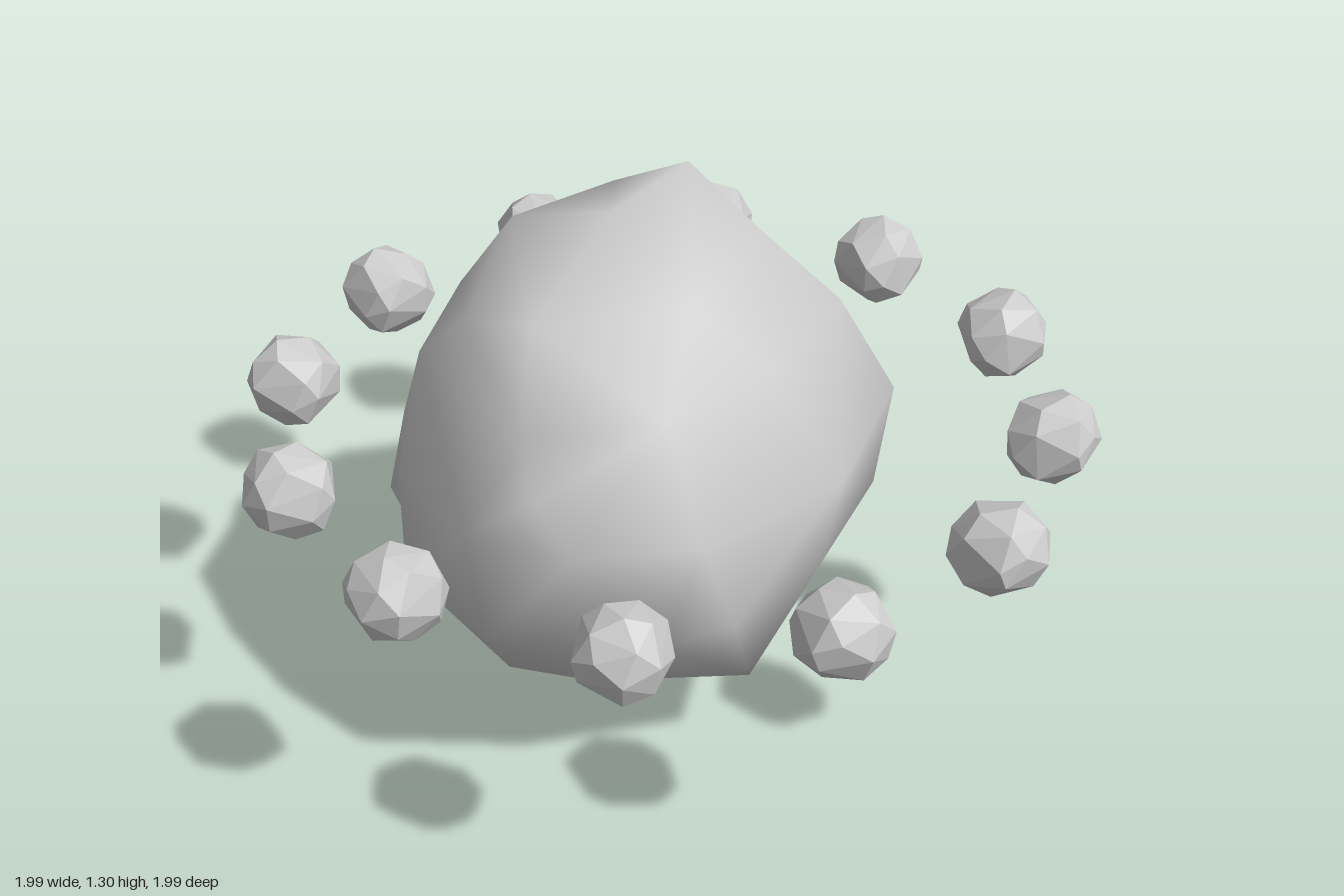
import * as THREE from 'three';
import { ConvexGeometry } from 'three/addons/geometries/ConvexGeometry.js';
import { mergeVertices } from 'three/addons/utils/BufferGeometryUtils.js';

const V = (x, y, z) => new THREE.Vector3(x, y, z);

// Triangulates points around a centre: hull of their directions, then back to their true distance
function starSurface(points, centre) {
  const dirs = points.map((p) => p.clone().sub(centre).normalize());
  const geo = new ConvexGeometry(dirs);
  const pos = geo.attributes.position;
  const v = V(0, 0, 0);
  for (let i = 0; i < pos.count; i++) {
    v.fromBufferAttribute(pos, i);
    let best = 0;
    dirs.forEach((d, k) => { if (d.dot(v) > dirs[best].dot(v)) best = k; });
    pos.setXYZ(i, points[best].x, points[best].y, points[best].z);
  }
  return geo;
}

// Large rock: irregular [x, z] outlines stacked by height
const LAYERS = [
  { y: 1.15, ring: [[-0.28, 0.38], [0.06, 0.28], [0.21, -0.04], [0.09, -0.26], [-0.12, -0.27]] },
  { y: 0.98, ring: [[-0.54, 0.2], [-0.3, 0.54], [0, 0.5], [0.24, 0.28], [0.395, -0.02],
    [0.25, -0.28], [0.08, -0.4], [-0.2, -0.36], [-0.47, -0.1]] },
  { y: 0.73, ring: [[-0.59, 0.32], [-0.43, 0.54], [-0.2, 0.63], [0.08, 0.6], [0.39, 0.34], [0.53, -0.04],
    [0.37, -0.32], [0.19, -0.55], [-0.02, -0.575], [-0.33, -0.39], [-0.53, -0.18], [-0.6, 0.06]] },
  { y: 0.49, ring: [[-0.65, 0.02], [-0.6, 0.14], [-0.585, 0.35], [-0.39, 0.6], [0, 0.62], [0.15, 0.55],
    [0.35, 0.32], [0.49, 0], [0.41, -0.36], [-0.3, -0.39], [-0.52, -0.18]] },
  { y: 0.41, ring: [[0.2, -0.555], [-0.02, -0.53]] },
  { y: 0.23, ring: [[-0.36, 0.37], [-0.16, 0.42], [0.19, 0.4], [0.27, 0], [0.25, -0.25], [0.04, -0.33], [-0.38, -0.2]] },
  { y: 0.15, ring: [[-0.48, 0.11], [-0.47, 0.02], [-0.12, 0.32], [0.14, 0.1], [-0.12, -0.16]] },
];
// Peaks, a small notch, a front bulge and the lowest tip
const TIPS = [V(0.05, 1.3, -0.08), V(-0.34, 1.2, -0.01), V(-0.12, 1.26, 0.08),
  V(-0.44, 1.05, 0.18), V(-0.28, 0.86, 0.61), V(-0.24, 0.04, 0.06), V(-0.15, 0, 0.15)];

function makeBoulder() {
  const points = [...TIPS];
  for (const { y, ring } of LAYERS) ring.forEach(([x, z]) => points.push(V(x, y, z)));
  let geo = starSurface(points, V(-0.05, 0.65, 0.03));
  geo.deleteAttribute('normal');
  geo = mergeVertices(geo, 1e-4);
  geo.computeVertexNormals();
  return geo;
}

// Small faceted rock: evenly spread, slightly jittered points
function makePebble() {
  let seed = 7;
  const rand = () => (seed = (seed * 16807) % 2147483647) / 2147483647;
  const points = [];
  const n = 26;
  for (let i = 0; i < n; i++) {
    const y = 1 - (2 * i + 1) / n;
    const a = i * 2.39996 + (rand() - 0.5) * 0.6;
    const r = Math.sqrt(1 - y * y);
    points.push(V(Math.cos(a) * r, y, Math.sin(a) * r).multiplyScalar(0.108 + rand() * 0.01));
  }
  return new ConvexGeometry(points);
}

export function createModel() {
  const model = new THREE.Group();
  model.name = 'ringedAsteroid';

  const boulder = new THREE.Mesh(makeBoulder(), new THREE.MeshStandardMaterial({ color: 0xcccccc }));
  boulder.name = 'asteroid';
  model.add(boulder);

  // Ring of twelve rocks around the middle, with a slightly wider gap where it closes
  const ring = new THREE.Group();
  ring.name = 'rockRing';
  const pebble = makePebble();
  const pebbleMat = new THREE.MeshStandardMaterial({ color: 0xcccccc, flatShading: true });
  for (let i = 0; i < 12; i++) {
    const a = THREE.MathUtils.degToRad(129.7 + i * 29.65);
    const rock = new THREE.Mesh(pebble, pebbleMat);
    rock.name = 'orbitingRock' + (i + 1);
    rock.position.set(0.89 * Math.cos(a), 0.688, 0.89 * Math.sin(a));
    rock.rotation.y = -a;
    ring.add(rock);
  }
  model.add(ring);
  return model;
}
